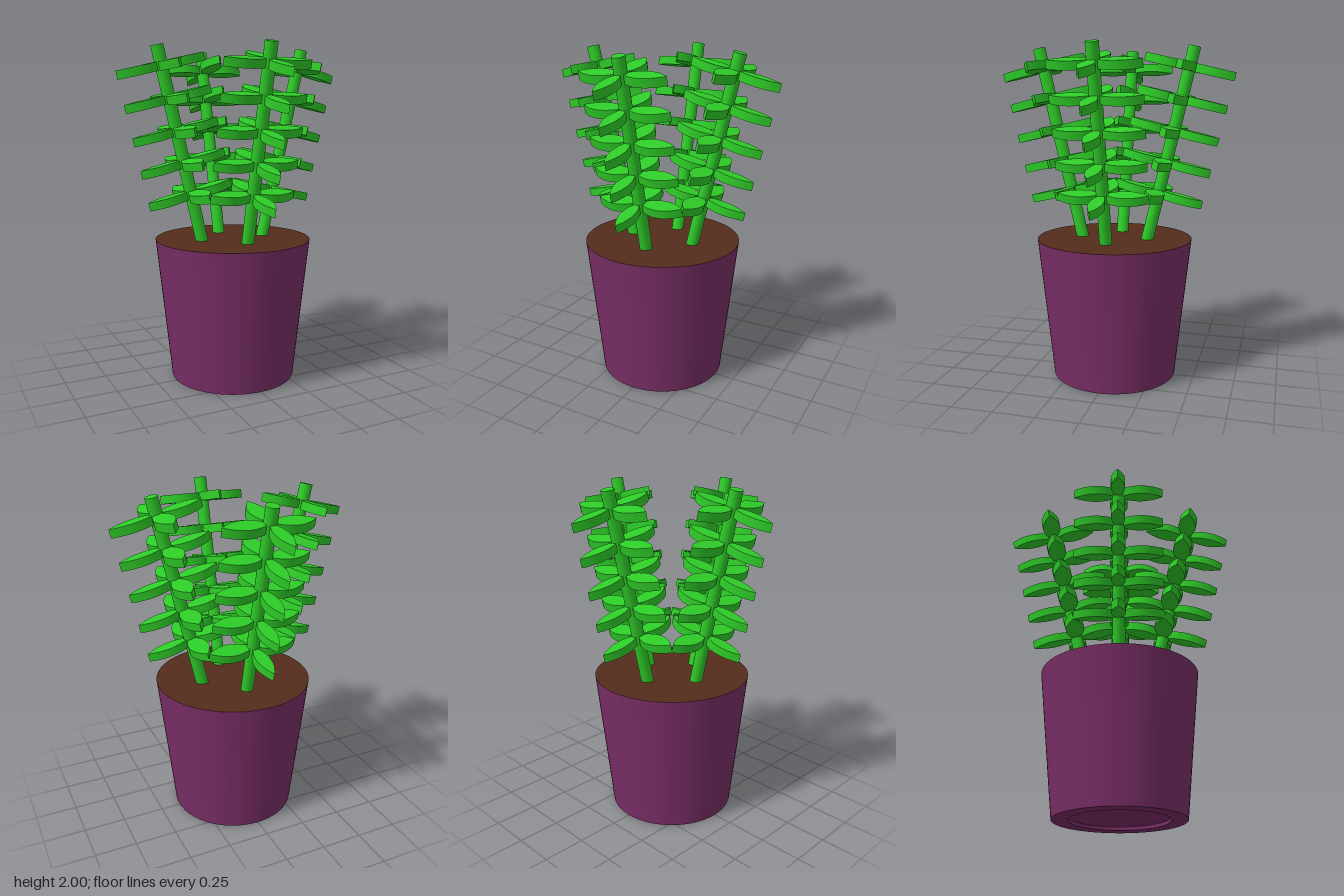
import * as THREE from 'three';
import { toCreasedNormals } from 'three/addons/utils/BufferGeometryUtils.js';

const POT_HEIGHT = 0.855;
const TILT = 0.23; // outward lean of each stem
const STEM_LENGTH = 1.166;

const leafMaterial = new THREE.MeshStandardMaterial({ color: 0x2ecc28 });
const potMaterial = new THREE.MeshStandardMaterial({ color: 0x7a2e66 });
const soilMaterial = new THREE.MeshStandardMaterial({ color: 0x542c1a });

function addMesh(parent, name, geometry, material) {
  const mesh = new THREE.Mesh(geometry, material);
  mesh.name = name;
  parent.add(mesh);
  return mesh;
}

// Thick pointed leaf lying flat, from the stem axis along +x
function leafGeometry(length, halfWidth, thickness) {
  const shape = new THREE.Shape();
  shape.moveTo(0, 0);
  shape.quadraticCurveTo(length / 2, -halfWidth * 2, length, 0);
  shape.quadraticCurveTo(length / 2, halfWidth * 2, 0, 0);
  const geometry = new THREE.ExtrudeGeometry(shape, { depth: thickness, bevelEnabled: false, curveSegments: 12 });
  geometry.translate(0, 0, -thickness / 2);
  geometry.rotateX(-Math.PI / 2);
  return toCreasedNormals(geometry, 0.6);
}

// Leaning stem with five whorls of four leaves
function createStem(stemGeometry, wideLeaf, narrowLeaf) {
  const stem = new THREE.Group();
  stem.name = 'leafyStem';
  stem.position.set(0.205, POT_HEIGHT, 0);
  stem.rotation.z = -TILT;
  addMesh(stem, 'stem', stemGeometry, leafMaterial);
  for (let level = 0; level < 5; level++) {
    const whorl = new THREE.Group();
    whorl.name = 'leafWhorl';
    whorl.position.y = 0.289 + level * 0.19;
    for (let i = 0; i < 4; i++) {
      // the outward leaf is slimmer than the other three
      const leaf = addMesh(whorl, 'leaf', i === 0 ? narrowLeaf : wideLeaf, leafMaterial);
      leaf.rotation.y = (i * Math.PI) / 2;
    }
    stem.add(whorl);
  }
  return stem;
}

export function createModel() {
  const model = new THREE.Group();
  model.name = 'pottedPlant';

  // Tapered pot with a shallow recess underneath
  const profile = [[0, 0.02], [0.285, 0.02], [0.285, 0], [0.378, 0], [0.47, POT_HEIGHT]]
    .map(([x, y]) => new THREE.Vector2(x, y));
  addMesh(model, 'pot', toCreasedNormals(new THREE.LatheGeometry(profile, 64), 0.6), potMaterial);

  // Soil level with the rim
  const soil = addMesh(model, 'soil', new THREE.CircleGeometry(0.47, 64), soilMaterial);
  soil.rotation.x = -Math.PI / 2;
  soil.position.y = POT_HEIGHT;

  // Four stems fanning out from the middle
  const stemGeometry = new THREE.CylinderGeometry(0.037, 0.037, STEM_LENGTH + 0.04, 20);
  stemGeometry.translate(0, STEM_LENGTH / 2 - 0.02, 0);
  const wideLeaf = leafGeometry(0.268, 0.056, 0.05);
  const narrowLeaf = leafGeometry(0.268, 0.042, 0.05);
  for (let i = 0; i < 4; i++) {
    const arm = new THREE.Group();
    arm.name = 'stemArm';
    arm.rotation.y = (i * Math.PI) / 2;
    arm.add(createStem(stemGeometry, wideLeaf, narrowLeaf));
    model.add(arm);
  }
  return model;
}
